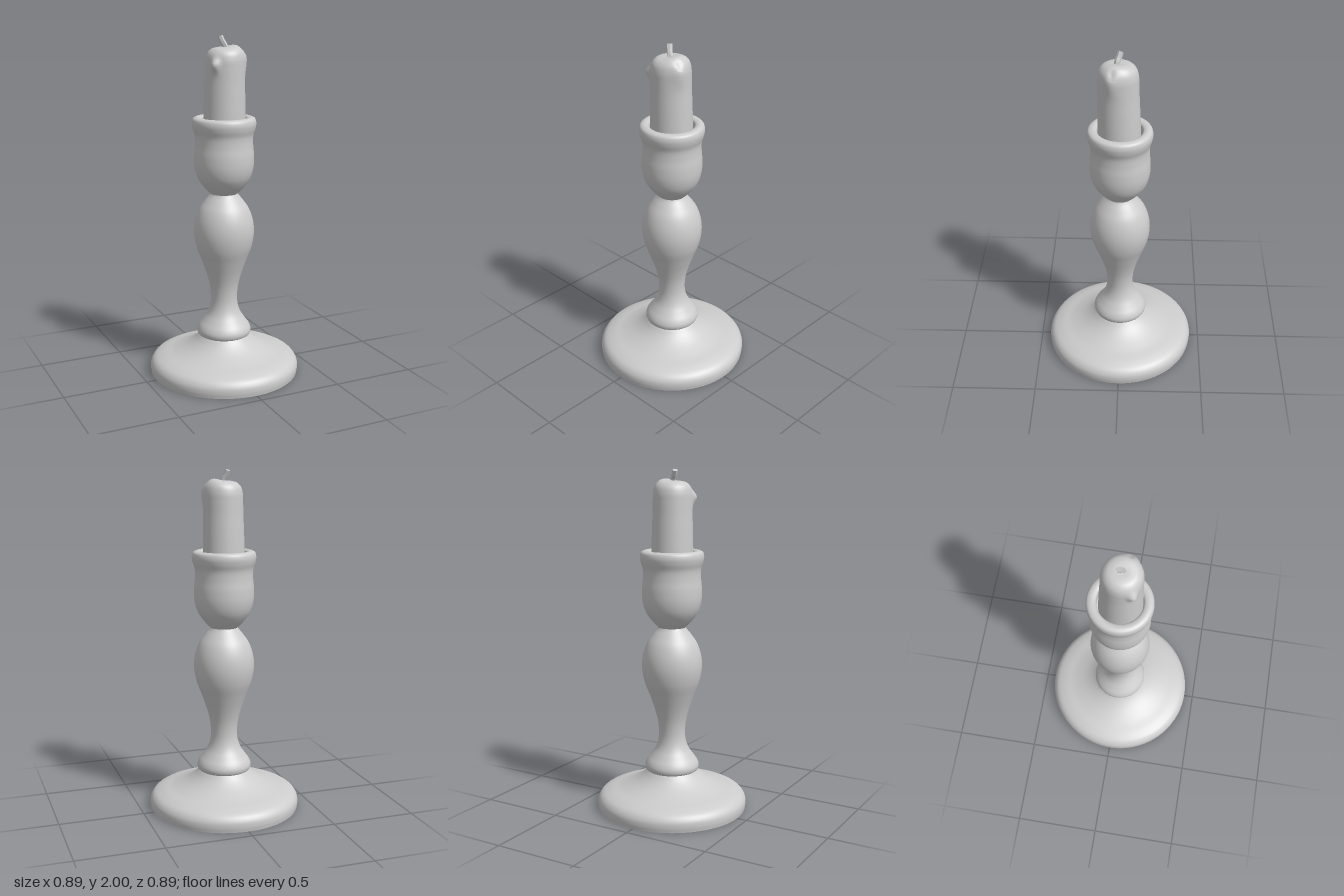
import * as THREE from 'three';
import { mergeVertices } from 'three/addons/utils/BufferGeometryUtils.js';

const wax = new THREE.MeshStandardMaterial({ color: 0xcccccc });
wax.name = 'plain grey';

function add(group, name, geometry) {
  const mesh = new THREE.Mesh(geometry, wax);
  mesh.name = name;
  group.add(mesh);
}

// Smooth turned profile through [radius, height] points
function profile(points, samples) {
  const curve = new THREE.CatmullRomCurve3(
    points.map(([r, y]) => new THREE.Vector3(r, y, 0)), false, 'centripetal');
  return curve.getPoints(samples).map(p => new THREE.Vector2(Math.max(p.x, 0), p.y));
}

const turned = (points, samples = points.length * 5) =>
  new THREE.LatheGeometry(profile(points, samples), 72);

// Candle with a slight lean, a drip on one side and a soft bulge on the other
function candleGeometry() {
  let geo = new THREE.LatheGeometry(profile([
    [0.121, 1.42], [0.12, 1.54], [0.117, 1.66], [0.114, 1.75], [0.113, 1.82],
    [0.111, 1.865], [0.101, 1.9], [0.08, 1.922], [0.05, 1.931], [0.02, 1.932], [0, 1.932],
  ], 60), 72);
  geo.deleteAttribute('uv');
  geo.deleteAttribute('normal');
  geo = mergeVertices(geo, 1e-5);
  const pos = geo.attributes.position;
  const bell = (d, w) => Math.exp(-(d * d) / (w * w));
  for (let i = 0; i < pos.count; i++) {
    const x = pos.getX(i), y = pos.getY(i), z = pos.getZ(i);
    const r = Math.hypot(x, z), a = Math.atan2(z, x);
    const edge = Math.min(r / 0.11, 1) ** 3;
    const drip = 0.026 * bell(a - 2.5, 0.2) * bell(y - 1.84, 0.035);
    const bulge = 0.011 * bell(a - 0.35, 0.35) * bell(y - 1.87, 0.07);
    const k = 1 + edge * (drip + bulge) / 0.11;
    const t = Math.max(0, (y - 1.45) / 0.45);
    const rim = y > 1.84 ? 0.014 * bell(x - 0.065, 0.05) * bell(z - 0.01, 0.09) : 0;
    const dent = y > 1.88 ? 0.012 * bell(x - 0.09, 0.015) * bell(z - 0.03, 0.015) : 0;
    pos.setXYZ(i, x * k + 0.002 * t, y + rim - dent, z * k + 0.003 + 0.008 * t);
  }
  geo.computeVertexNormals();
  return geo;
}

// Short, bent, squarish wick
function wickGeometry() {
  const path = new THREE.CatmullRomCurve3([
    new THREE.Vector3(0.004, 1.91, 0.016), new THREE.Vector3(0, 1.94, 0.014),
    new THREE.Vector3(-0.012, 1.965, 0.006), new THREE.Vector3(-0.022, 1.992, -0.003),
  ]);
  const s = new THREE.Shape();
  for (let i = 0; i < 6; i++) {
    const a = i / 6 * Math.PI * 2;
    s[i ? 'lineTo' : 'moveTo'](0.017 * Math.cos(a), 0.015 * Math.sin(a));
  }
  return new THREE.ExtrudeGeometry(s, { steps: 10, bevelEnabled: false, extrudePath: path });
}

export function createModel() {
  const model = new THREE.Group();
  model.name = 'candlestick';

  const bottom = new THREE.CircleGeometry(0.44, 72);
  bottom.rotateX(Math.PI / 2);
  add(model, 'baseBottom', bottom);

  // Wide foot
  add(model, 'base', turned([
    [0.44, 0], [0.444, 0.03], [0.44, 0.06], [0.42, 0.088], [0.375, 0.11], [0.3, 0.132],
    [0.225, 0.165], [0.175, 0.2], [0.145, 0.232],
  ]));

  // Baluster stem, from the lower collar to the neck under the cup
  add(model, 'stem', turned([
    [0.14, 0.226], [0.154, 0.234], [0.16, 0.257], [0.151, 0.285], [0.125, 0.322], [0.1, 0.36],
    [0.085, 0.4], [0.078, 0.45], [0.083, 0.525], [0.101, 0.6], [0.132, 0.69], [0.163, 0.775],
    [0.176, 0.855], [0.17, 0.93], [0.146, 1], [0.112, 1.05], [0.084, 1.085], [0.076, 1.1],
  ]));

  // Cup with a rolled lip
  add(model, 'cup', turned([
    [0.07, 1.085], [0.09, 1.103], [0.125, 1.142], [0.155, 1.19], [0.171, 1.25], [0.173, 1.32],
    [0.168, 1.38], [0.169, 1.435], [0.181, 1.475], [0.185, 1.506], [0.178, 1.53], [0.16, 1.539],
    [0.14, 1.537], [0.129, 1.528], [0.126, 1.5], [0.126, 1.43], [0, 1.43],
  ]));

  add(model, 'candle', candleGeometry());
  add(model, 'wick', wickGeometry());
  return model;
}
